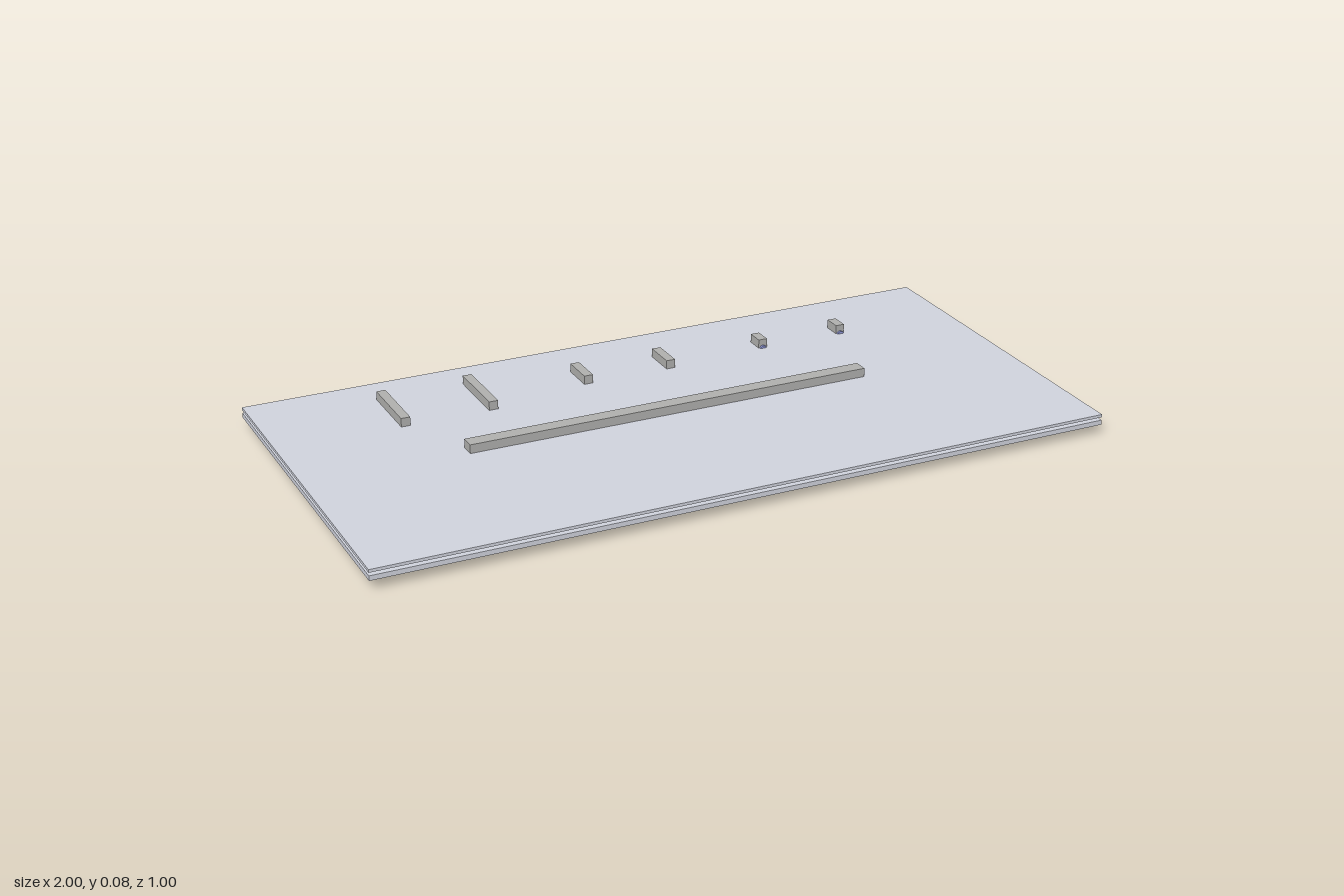
import * as THREE from 'three';

const mat = (color) => new THREE.MeshStandardMaterial({ color });

export function createModel() {
  const model = new THREE.Group();
  const plate = mat(0xd0d3dd), grey = mat(0xb0b0ae), red = mat(0xe08080);
  const green = mat(0x90d098), blue = mat(0x9098d8);

  const add = (name, geometry, material, x, y, z) => {
    const mesh = new THREE.Mesh(geometry, material);
    mesh.name = name;
    mesh.position.set(x, y, z);
    model.add(mesh);
    return mesh;
  };
  // Box given by its bottom and top heights
  const slab = (name, material, w, d, y0, y1, x = 0, z = 0) =>
    add(name, new THREE.BoxGeometry(w, y1 - y0, d), material, x, (y0 + y1) / 2, z);
  // Upright round part given by its bottom and top heights
  const post = (name, material, r, y0, y1, x) =>
    add(name, new THREE.CylinderGeometry(r, r, y1 - y0, 24), material, x, (y0 + y1) / 2, 0);

  // Two stacked sheets with a narrow gap, and the long bar on top
  slab('lowerPlate', plate, 2, 1, 0.027, 0.04);
  slab('upperPlate', plate, 2, 1, 0.048, 0.056);
  slab('longBar', grey, 1.13, 0.04, 0.056, 0.08);

  // Fasteners holding the bar from below
  for (const x of [-0.533, 0, 0.533]) {
    post('boltHead', green, 0.013, 0, 0.0133, x);
    post('boltShaft', blue, 0.005, 0.0133, 0.056, x);
    post('spacer', grey, 0.013, 0.04, 0.048, x);
  }

  // Three red pads of decreasing depth, each with a pair of end blocks
  const z = -0.3;
  [[-0.533, 0.19], [0, 0.093], [0.533, 0.048]].forEach(([x, depth]) => {
    slab('bottomPad', red, 0.267, depth, 0.0145, 0.027, x, z);
    for (const side of [-1, 1]) {
      const bx = x + side * 0.121;
      slab('endBlock', grey, 0.025, depth, 0.027, 0.08, bx, z);
      // Cross pin through the block, just showing on the shortest pair
      const pin = add('crossPin', new THREE.CylinderGeometry(0.01, 0.01, 0.06, 16), blue, bx, 0.053, z);
      pin.rotation.x = Math.PI / 2;
    }
  });

  return model;
}
